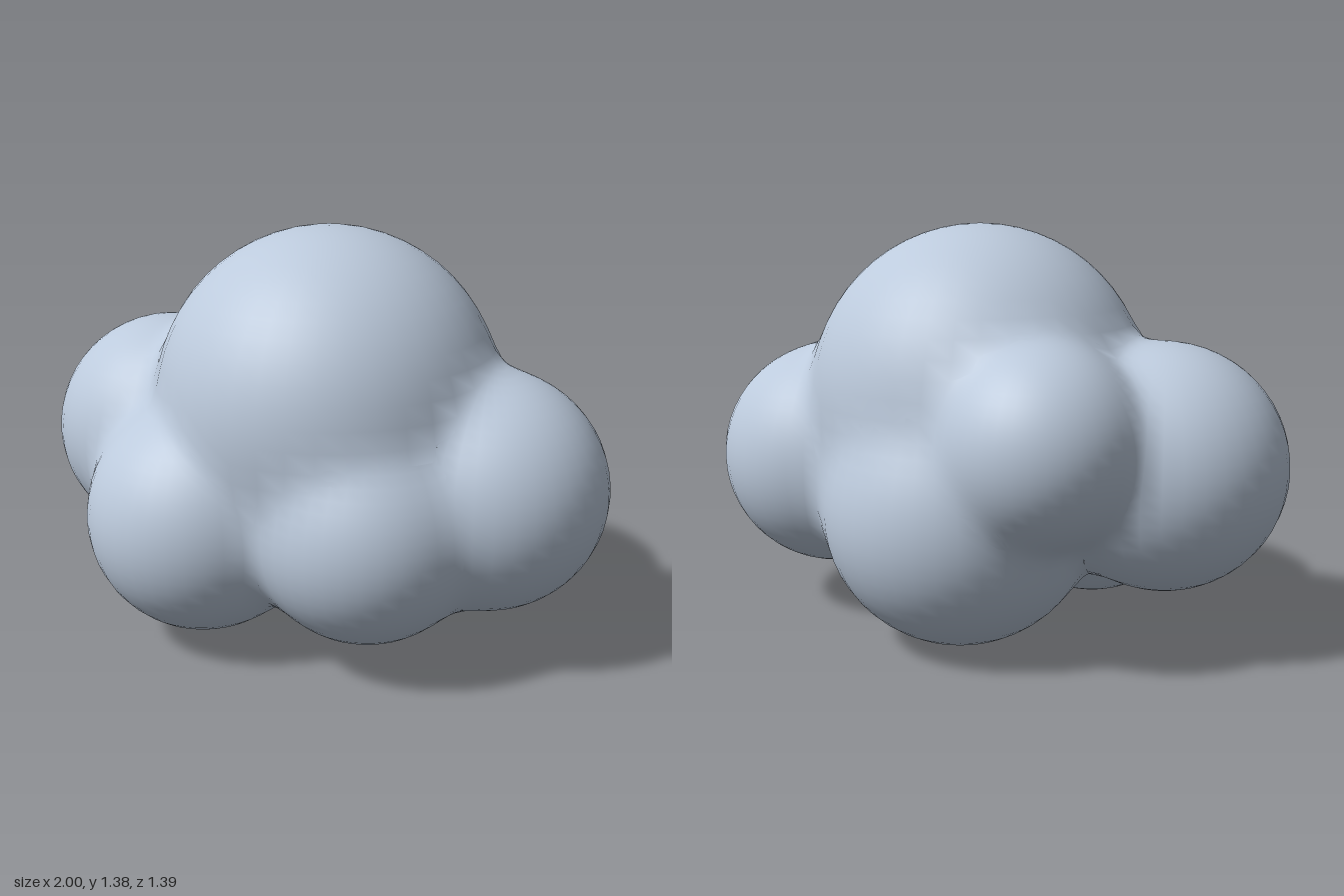
import * as THREE from 'three';

// Puffs of the cloud: name, centre, radius
const PUFFS = [
  ['crownPuff', [0.05, 0.8, 0.03], 0.575],
  ['rightSidePuff', [-0.595, 0.605, -0.045], 0.405],
  ['leftSidePuff', [0.6, 0.555, 0.03], 0.395],
  ['frontRightPuff', [-0.285, 0.435, 0.305], 0.39],
  ['frontLeftPuff', [0.28, 0.47, 0.28], 0.375],
  ['bellyPuff', [0.045, 0.455, -0.2], 0.455],
  ['backRightPuff', [-0.27, 0.72, -0.37], 0.322],
].map(([name, c, r]) => ({ name, centre: new THREE.Vector3(...c), r }));

const SHARPNESS = 32; // higher gives tighter creases between puffs
const DEEP = -0.07;   // points further inside than this are buried

// Distance to the softly merged puffs; writes the surface direction to normal
function cloudField(p, normal) {
  let sum = 0;
  const d = new THREE.Vector3();
  normal.set(0, 0, 0);
  for (const { centre, r } of PUFFS) {
    d.subVectors(p, centre);
    const len = d.length() || 1e-6;
    const w = Math.exp(-SHARPNESS * (len - r));
    sum += w;
    normal.addScaledVector(d, w / len);
  }
  normal.normalize();
  return -Math.log(sum) / SHARPNESS;
}

// A sphere whose vertices near a seam are eased out onto the merged surface
function puffGeometry({ centre, r }) {
  const geo = new THREE.SphereGeometry(r, 40, 28);
  geo.translate(centre.x, centre.y, centre.z);
  const pos = geo.attributes.position, nor = geo.attributes.normal;
  const p = new THREE.Vector3(), n = new THREE.Vector3();
  const buried = [];
  for (let i = 0; i < pos.count; i++) {
    p.fromBufferAttribute(pos, i);
    buried[i] = cloudField(p, n) < DEEP;
    if (buried[i]) continue;
    for (let k = 0; k < 4; k++) p.addScaledVector(n, -cloudField(p, n));
    cloudField(p, n);
    pos.setXYZ(i, p.x, p.y, p.z);
    nor.setXYZ(i, n.x, n.y, n.z);
  }
  // Leave out faces wholly hidden inside the neighbouring puffs
  const old = geo.index.array, kept = [];
  for (let i = 0; i < old.length; i += 3) {
    const tri = [old[i], old[i + 1], old[i + 2]];
    if (!tri.every((v) => buried[v])) kept.push(...tri);
  }
  geo.setIndex(kept);
  return geo;
}

export function createModel() {
  const cloud = new THREE.Group();
  cloud.name = 'cloud';
  const paleBlueGrey = new THREE.MeshStandardMaterial({ color: 0xbccadc });
  paleBlueGrey.name = 'paleBlueGrey';
  for (const puff of PUFFS) {
    const mesh = new THREE.Mesh(puffGeometry(puff), paleBlueGrey);
    mesh.name = puff.name;
    cloud.add(mesh);
  }
  return cloud;
}
